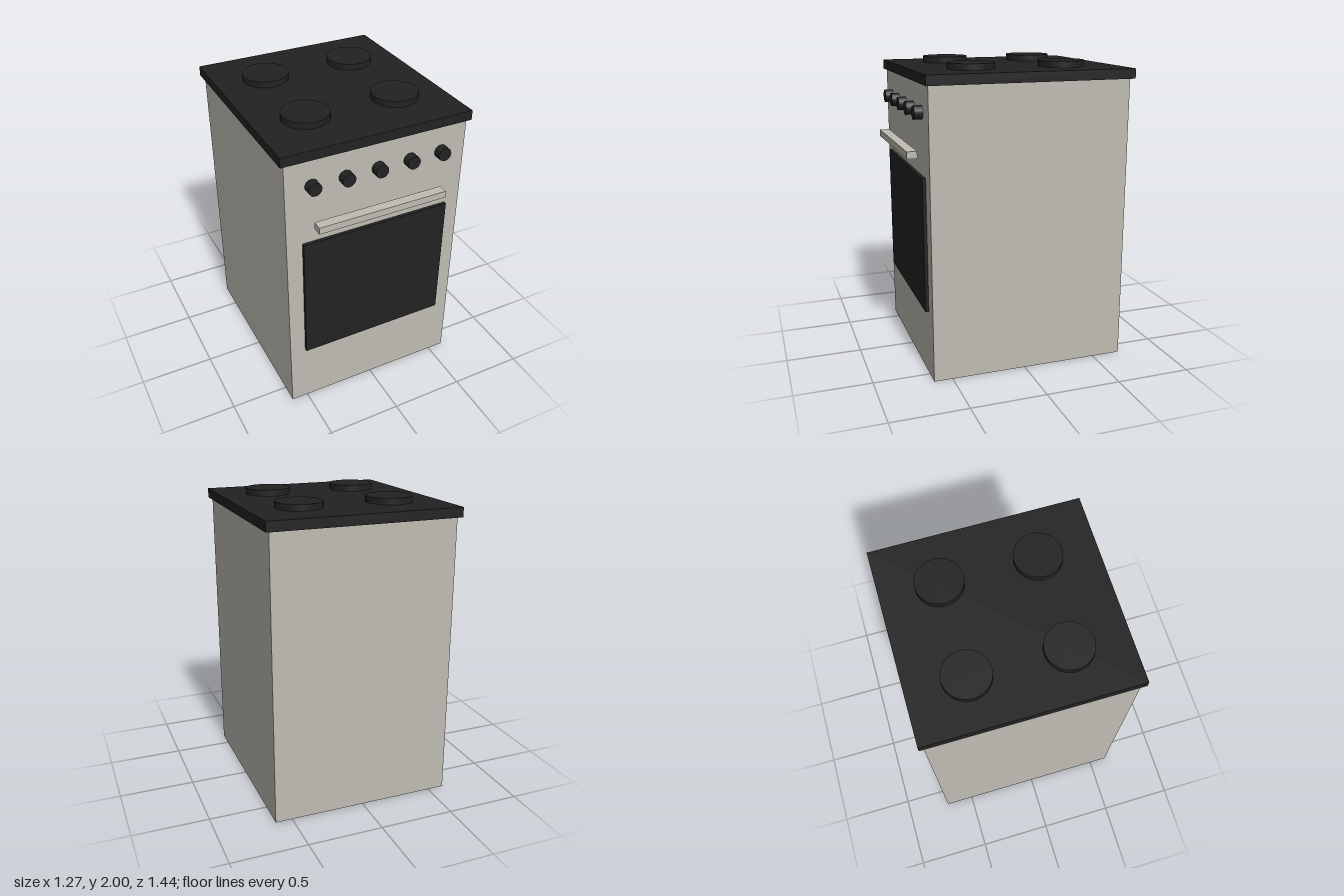
import * as THREE from 'three';

export function createModel() {
  const group = new THREE.Group();
  const enamel = new THREE.MeshStandardMaterial({ name: 'warm grey enamel', color: 0xbfbcb3 });
  const black = new THREE.MeshStandardMaterial({ name: 'black', color: 0x222222 });

  const add = (name, geometry, material, x, y, z) => {
    const mesh = new THREE.Mesh(geometry, material);
    mesh.name = name;
    mesh.position.set(x, y, z);
    group.add(mesh);
    return mesh;
  };

  // Box given by its half width and its y and z ranges, centred on x
  const box = (name, material, halfX, y0, y1, z0, z1) =>
    add(name, new THREE.BoxGeometry(halfX * 2, y1 - y0, z1 - z0), material, 0, (y0 + y1) / 2, (z0 + z1) / 2);

  box('body', enamel, 0.612, 0, 1.895, -0.697, 0.623);
  box('hob', black, 0.637, 1.895, 1.959, -0.722, 0.641);
  box('ovenWindow', black, 0.507, 0.442, 1.32, 0.61, 0.645);
  box('doorHandle', enamel, 0.44, 1.433, 1.479, 0.656, 0.722);

  // Four hot plates
  const plate = new THREE.CylinderGeometry(0.152, 0.152, 0.05, 32);
  for (const x of [-0.307, 0.307]) {
    for (const z of [-0.35, 0.267]) add('hotPlate', plate, black, x, 1.975, z);
  }

  // Row of five control knobs
  const knob = new THREE.CylinderGeometry(0.044, 0.044, 0.064, 16).rotateX(Math.PI / 2);
  for (let i = -2; i <= 2; i++) add('knob', knob, black, i * 0.22, 1.718, 0.645);

  return group;
}
